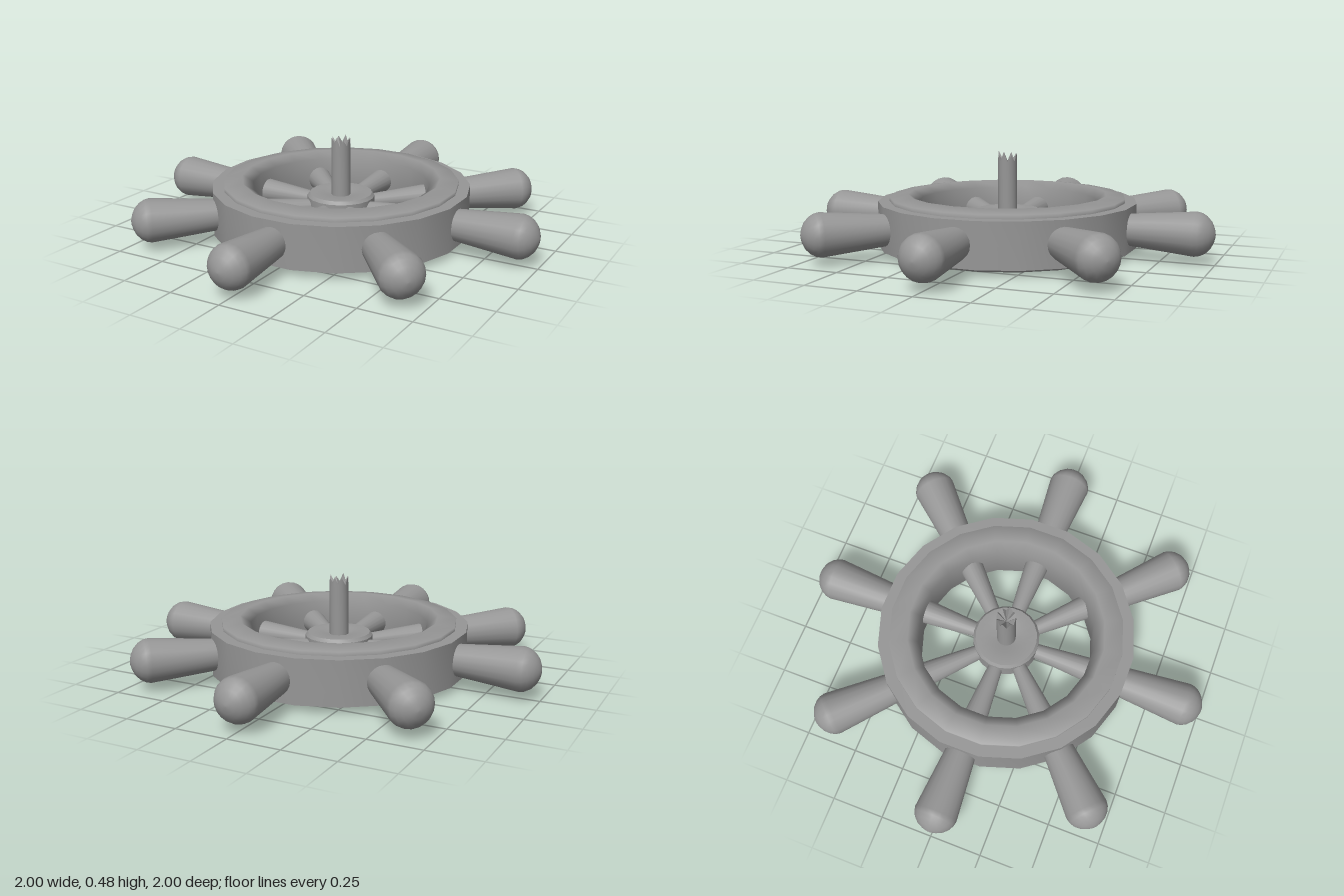
import * as THREE from 'three';
import { toCreasedNormals } from 'three/addons/utils/BufferGeometryUtils.js';

const MID = 0.138; // height of the wheel's middle plane

export function createModel() {
  const wheel = new THREE.Group();
  wheel.name = 'shipWheel';
  const material = new THREE.MeshStandardMaterial({ color: 0x969696 });

  const add = (geometry, name, y = 0) => {
    const mesh = new THREE.Mesh(geometry, material);
    mesh.name = name;
    mesh.position.y = y;
    wheel.add(mesh);
    return mesh;
  };
  const lathe = (points, sides, phase = 0) =>
    new THREE.LatheGeometry(points.map(([r, y]) => new THREE.Vector2(r, y)), sides, phase);
  // Half of a profile, continued by its mirror image in the middle plane
  const mirrored = (half) => [...half, ...half.map(([r, y]) => [r, -y]).reverse()];

  // Outer band of the rim, sharp edged
  const bandProfile = mirrored([[0.55, -0.106], [0.62, -0.106]]);
  add(toCreasedNormals(lathe(bandProfile, 20, Math.PI / 20), 0.4), 'rimBand', MID);

  // Inner ring, standing proud of the band on both faces, softly shaded
  const ringProfile = mirrored([[0.565, 0.1], [0.565, 0.125], [0.475, 0.138], [0.425, 0.105]]);
  add(lathe(ringProfile, 20, Math.PI / 20), 'rimRing', MID);

  // Hub, dished around the axle on both faces
  const hubProfile = mirrored([
    [0, -0.05], [0.046, -0.05], [0.083, -0.062], [0.15, -0.06], [0.162, -0.045],
  ]);
  add(toCreasedNormals(lathe(hubProfile, 20, Math.PI / 20), 0.4), 'hub', MID);

  // Spokes: tapered cones running through the rim into rounded handles
  const spokeProfile = [
    [0.033, 0.12], [0.075, 0.61], [0.103, 0.912], [0.098, 0.935], [0.085, 0.958],
    [0.062, 0.98], [0.035, 0.993], [0.012, 0.999], [0, 1],
  ];
  const spokeGeometry = lathe(spokeProfile, 20);
  spokeGeometry.rotateX(Math.PI / 2);
  for (let i = 0; i < 8; i++) {
    add(spokeGeometry, 'spokeHandle', MID).rotation.y = (i * Math.PI) / 4;
  }

  // Axle: round shaft with a splintered, hollowed end
  const sides = 16;
  const top = 0.45;
  const shaft = lathe([[0, 0.045], [0.046, 0.045], [0.046, top], [0, 0.4]], sides);
  const pos = shaft.attributes.position;
  for (let i = 0; i < pos.count; i++) {
    if (Math.abs(pos.getY(i) - top) > 1e-4) continue;
    const k = Math.floor(i / 4) % sides;
    pos.setY(i, k % 2 ? 0.432 + 0.006 * Math.sin(k * 2.3) : 0.469 + 0.008 * Math.cos(k * 1.7));
  }
  add(toCreasedNormals(shaft, 0.5), 'brokenAxle');

  return wheel;
}
